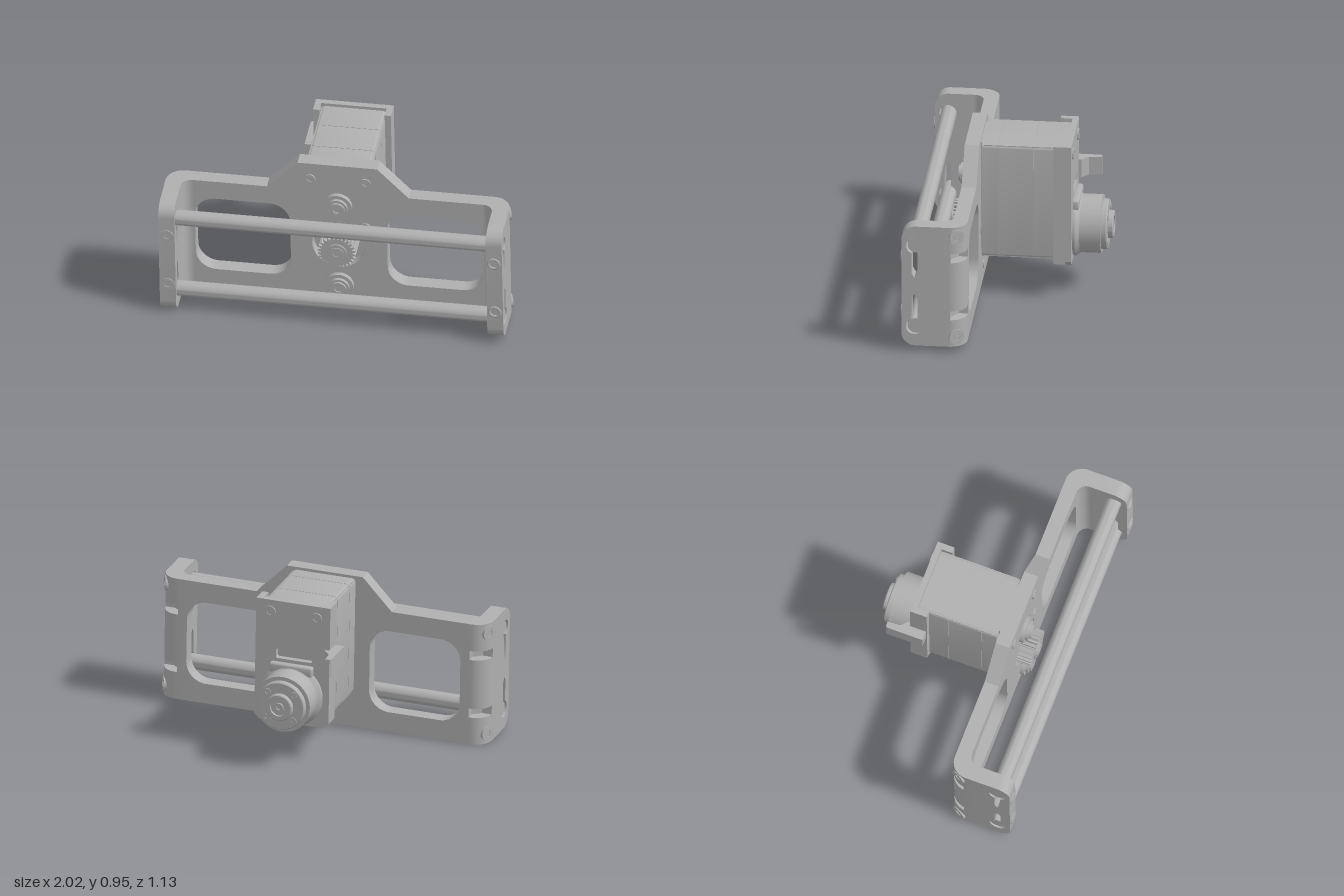
import * as THREE from 'three';
import { toCreasedNormals } from 'three/addons/utils/BufferGeometryUtils.js';
import { RoundedBoxGeometry } from 'three/addons/geometries/RoundedBoxGeometry.js';

const metal = new THREE.MeshStandardMaterial({ color: 0xb0b0b0 });
metal.name = 'grey metal';

const L = 0.993, H = 0.37, BACK = 0.19, FACE = 0.275; // frame half length, half height, plate z range

function add(parent, name, geo, x = 0, y = 0, z = 0) {
  const m = new THREE.Mesh(toCreasedNormals(geo, 0.6), metal);
  m.name = name;
  m.position.set(x, y, z);
  parent.add(m);
  return m;
}
const poly = (pts) => new THREE.Shape(pts.map((p) => new THREE.Vector2(p[0], p[1])));
const extrude = (shape, depth) =>
  new THREE.ExtrudeGeometry(shape, { depth, bevelEnabled: false, curveSegments: 14 });
// points are (x, z), extruded along y
const extrudeY = (pts, depth) => extrude(poly(pts.map(([x, z]) => [x, -z])), depth).rotateX(-Math.PI / 2);
const cylZ = (r, h) => new THREE.CylinderGeometry(r, r, h, 40).rotateX(Math.PI / 2);
const box = (w, h, d) => new THREE.BoxGeometry(w, h, d);

function arc(cx, cy, r, a0, a1, n = 10) {
  return Array.from({ length: n + 1 }, (_, i) => {
    const a = a0 + ((a1 - a0) * i) / n;
    return [cx + r * Math.cos(a), cy + r * Math.sin(a)];
  });
}
// rounded rectangle outline
function roundRect(x0, y0, x1, y1, r) {
  const q = Math.PI / 2;
  return [
    ...arc(x1 - r, y0 + r, r, -q, 0), ...arc(x1 - r, y1 - r, r, 0, q),
    ...arc(x0 + r, y1 - r, r, q, 2 * q), ...arc(x0 + r, y0 + r, r, 2 * q, 3 * q),
  ];
}
const circle = (x, y, r, n = 40) => arc(x, y, r, 0, 2 * Math.PI, n).slice(0, -1);

// screw head with hex socket, facing +z, base at z = 0
function screw(parent, name, r, h, x, y, z) {
  const s = poly(circle(0, 0, r, 24));
  s.holes.push(poly(circle(0, 0, r * 0.5, 6)));
  const g = new THREE.Group();
  g.name = name;
  add(g, 'screwHead', extrude(s, h));
  add(g, 'socketFloor', cylZ(r * 0.6, h * 0.3), 0, 0, h * 0.15);
  g.position.set(x, y, z);
  parent.add(g);
  return g;
}

function buildFrame(root) {
  const frame = new THREE.Group();
  frame.name = 'frame';
  root.add(frame);

  // main plate with raised centre, two windows and the gear opening
  const plate = poly([[-0.84, -H], [0.84, -H], [0.84, H], [0.41, H], [0.23, 0.557],
    [-0.23, 0.557], [-0.41, H], [-0.84, H]]);
  plate.holes.push(poly(roundRect(-0.83, -0.25, -0.28, 0.25, 0.12)));
  plate.holes.push(poly(roundRect(0.28, -0.25, 0.83, 0.25, 0.12)));
  plate.holes.push(poly(circle(0, 0, 0.155)));
  add(frame, 'mainPlate', extrude(plate, FACE - BACK), 0, 0, BACK);

  for (const s of [-1, 1]) {
    // curved corners, with nut notches cut into the outside
    const inner = [[0.9, 0.335], ...arc(0.84, 0.335, 0.06, 0, -Math.PI / 2), [0.84, BACK]];
    const full = [...arc(L - 0.1, BACK + 0.1, 0.1, -Math.PI / 2, 0, 14), [L, 0.335], ...inner];
    const cut = [[0.885, BACK], [0.885, 0.24], [0.935, 0.28], [L, 0.28], [L, 0.335], ...inner];
    const levels = [-H, -0.205, -0.15, 0.15, 0.205, H];
    for (let i = 0; i < 5; i++) {
      const pts = (i % 2 ? cut : full).map(([x, z]) => [s * x, z]);
      add(frame, 'frameCorner', extrudeY(pts, levels[i + 1] - levels[i]), 0, levels[i], 0);
    }

    // side arm, drawn as (-z, y), with two keyhole slots
    const q = Math.PI / 2;
    const arm = poly([[-0.335, -H], [-0.335, H], ...arc(-0.48, H - 0.08, 0.08, q, 2 * q),
      ...arc(-0.48, -H + 0.08, 0.08, 2 * q, 3 * q)]);
    for (const t of [-1, 1]) {
      const a = Math.asin(0.018 / 0.049);
      const key = [[0, 0.05], [0.018, 0.08], ...arc(0, 0.25, 0.049, -q + a, 3 * q - a, 24), [-0.018, 0.08]];
      arm.holes.push(poly(key.map(([x, y]) => [x - 0.485, t * y])));
    }
    add(frame, 'sideArm', extrude(arm, L - 0.9).rotateY(q), s > 0 ? 0.9 : -L, 0, 0);

    for (const t of [-1, 1]) {
      // corner bolts lying along the curved surface
      const a = -0.47;
      const bolt = screw(frame, 'cornerBolt', 0.045, 0.03,
        s * (L - 0.1 + 0.075 * Math.cos(a)), t * 0.31, BACK + 0.1 + 0.075 * Math.sin(a));
      bolt.rotation.y = s * (q - a);
      // rod clamp screws on the arm fronts, plain bushes on one side
      if (s < 0) screw(frame, 'clampScrew', 0.04, 0.01, s * 0.945, t * 0.17, 0.555);
      else add(frame, 'clampBush', new THREE.TorusGeometry(0.031, 0.009, 8, 28), s * 0.945, t * 0.17, 0.558);
    }
  }

  // cross rods
  for (const t of [-1, 1]) {
    add(frame, 'crossRod', new THREE.CylinderGeometry(0.045, 0.045, 2 * L - 0.02, 32).rotateZ(Math.PI / 2),
      0, t * 0.25, 0.48);
    screw(frame, 'plateScrew', 0.032, 0.008, t * 0.16, 0.45, FACE);
  }
}

function buildDrive(root) {
  const drive = new THREE.Group();
  drive.name = 'drive';
  root.add(drive);

  // pinion with teeth, hub and centre screw
  const teeth = 26, pts = [];
  for (let i = 0; i < teeth; i++) {
    [[0, 0.092], [0.3, 0.092], [0.45, 0.11], [0.8, 0.11]].forEach(([f, r]) => {
      const a = ((i + f) / teeth) * 2 * Math.PI;
      pts.push([r * Math.cos(a), r * Math.sin(a)]);
    });
  }
  add(drive, 'gearSeat', cylZ(0.155, 0.04), 0, 0, 0.195);
  add(drive, 'pinion', extrude(poly(pts), 0.145), 0, 0, 0.21);
  add(drive, 'pinionHub', cylZ(0.06, 0.012), 0, 0, 0.358);
  screw(drive, 'pinionScrew', 0.042, 0.006, 0, 0, 0.363);
  screw(drive, 'motorScrew', 0.032, 0.008, 0.157, 0.135, FACE);

  // stepped guide bushes above and below the pinion
  for (const t of [-1, 1]) {
    add(drive, 'bushFlange', cylZ(0.082, 0.025), 0, t * 0.28, FACE + 0.0125);
    add(drive, 'bushBody', cylZ(0.06, 0.02), 0, t * 0.28, FACE + 0.033);
    screw(drive, 'bushScrew', 0.045, 0.012, 0, t * 0.28, FACE + 0.043);
    add(drive, 'bushBoltEnd', cylZ(0.025, 0.008), 0, t * 0.28, BACK - 0.002);
  }
}

function buildMotor(root) {
  const motor = new THREE.Group();
  motor.name = 'motor';
  root.add(motor);

  // motor body in three sections on a slimmer core
  const cuts = [0.182, 0.087, -0.115, -0.3];
  for (let i = 0; i < 3; i++) {
    const d = cuts[i] - cuts[i + 1] - 0.003;
    const section = extrude(poly(roundRect(-0.19, -0.35, 0.19, 0.35, 0.025)), d);
    add(motor, 'motorSection', section, 0, 0.195, cuts[i + 1] + 0.0015);
  }
  add(motor, 'motorCore', box(0.37, 0.69, 0.46), 0, 0.195, -0.06);
  add(motor, 'frontSpacer', box(0.3, 0.66, 0.02), 0, 0.21, 0.185);

  // rear housing, open at the top, with a slot in its back wall
  const wall = poly([[-0.225, -0.15], [-0.195, -0.18], [0.195, -0.18], [0.225, -0.15],
    [0.225, 0.562], [-0.225, 0.562]]);
  wall.holes.push(poly(roundRect(-0.12, 0.21, 0.1, 0.27, 0.01)));
  add(motor, 'rearWall', extrude(wall, 0.035), 0, 0, -0.335);
  for (const s of [-1, 1]) {
    add(motor, 'housingSide', box(0.036, 0.712, 0.07), s * 0.207, 0.206, -0.268);
    const sc = screw(motor, 'rearScrew', 0.035, 0.008, s * 0.14, 0.49, -0.335);
    sc.rotation.y = Math.PI;
  }
  add(motor, 'housingFloor', box(0.39, 0.03, 0.07), 0, -0.165, -0.268);

  // cable hook on one side
  add(motor, 'cableHook', extrudeY([[-0.2, -0.24], [-0.28, -0.24], [-0.28, -0.455], [-0.27, -0.465],
    [-0.245, -0.465], [-0.24, -0.39], [-0.2, -0.35]], 0.11), 0, 0.195, 0);

  // round gearbox, turned about z
  const profile = [[0, 0.33], [0.188, 0.33], [0.188, 0.35], [0.168, 0.375], [0.168, 0.495], [0.145, 0.495],
    [0.145, 0.525], [0.14, 0.53], [0.08, 0.53], [0.08, 0.555], [0.075, 0.56], [0.05, 0.56], [0.05, 0.545], [0, 0.545]];
  add(motor, 'gearbox', new THREE.LatheGeometry(profile.map(([r, d]) => new THREE.Vector2(r, d)), 56)
    .rotateX(-Math.PI / 2));
  add(motor, 'gearboxSaddle', new RoundedBoxGeometry(0.26, 0.06, 0.05, 2, 0.012), 0, 0.16, -0.345);
  for (let i = 0; i < 4; i++) {
    const a = Math.PI / 4 + (i * Math.PI) / 2;
    const sc = screw(motor, 'gearboxScrew', 0.022, 0.006, 0.112 * Math.cos(a), 0.112 * Math.sin(a), -0.529);
    sc.rotation.y = Math.PI;
  }
  const shaft = screw(motor, 'outputShaft', 0.028, 0.014, 0, 0, -0.544);
  shaft.rotation.y = Math.PI;
}

export function createModel() {
  const model = new THREE.Group();
  model.name = 'motorBracket';
  // the whole assembly leans slightly about the pinion axis
  const assembly = new THREE.Group();
  assembly.name = 'assembly';
  assembly.position.y = 0.388;
  assembly.rotation.z = 0.0175;
  model.add(assembly);
  buildFrame(assembly);
  buildDrive(assembly);
  buildMotor(assembly);
  return model;
}
